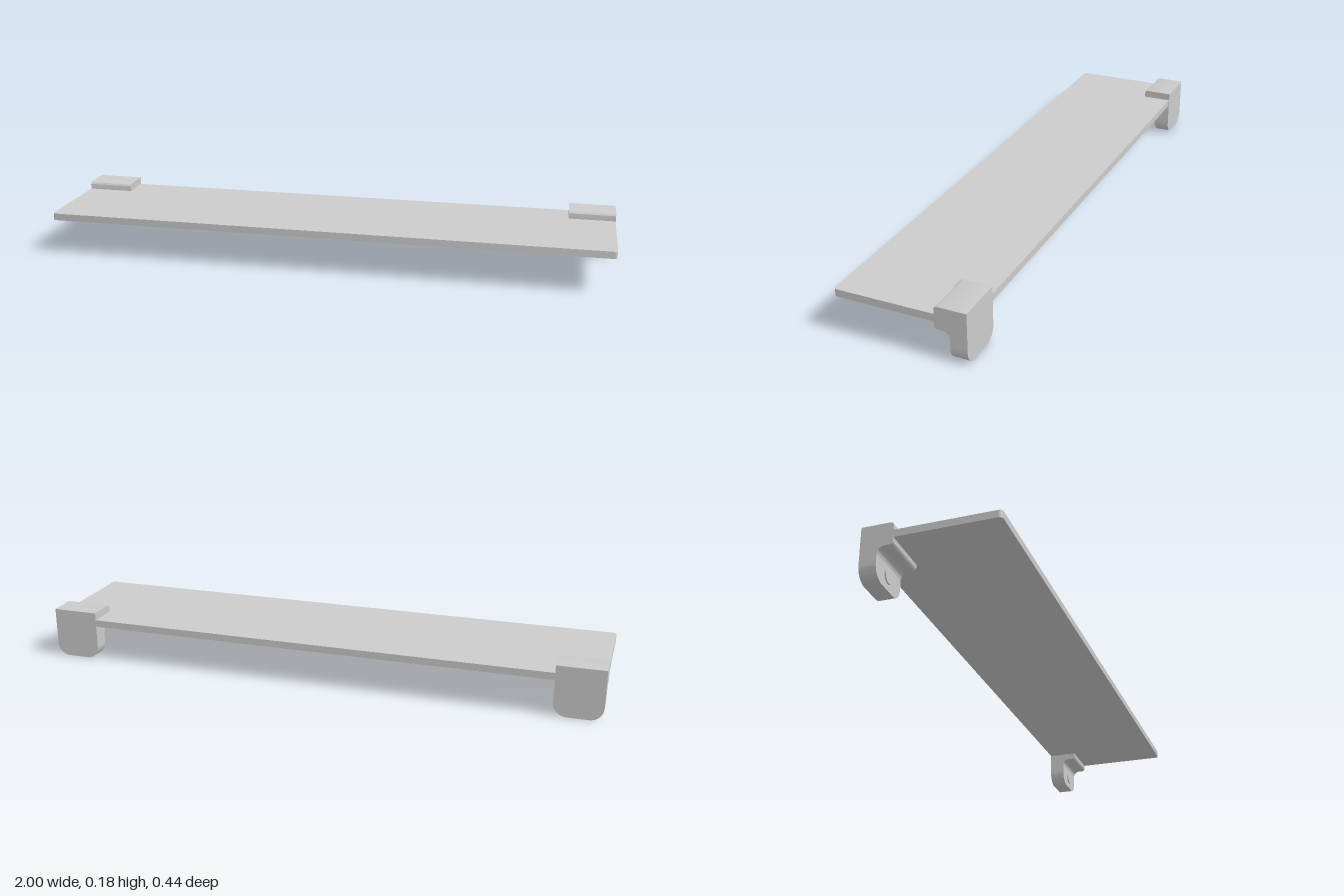
import * as THREE from 'three';
import { toCreasedNormals } from 'three/addons/utils/BufferGeometryUtils.js';

const material = new THREE.MeshStandardMaterial({ color: 0xcccccc });
const WIDTH = 0.165, BACK = -0.222, LEG_FRONT = -0.166, SPLIT = 0.06;

function extrude(shape, depth) {
  const g = new THREE.ExtrudeGeometry(shape, { depth, bevelEnabled: false, curveSegments: 10 });
  return toCreasedNormals(g, 0.5);
}

function addPart(parent, name, geometry) {
  const mesh = new THREE.Mesh(geometry, material);
  mesh.name = name;
  parent.add(mesh);
  return mesh;
}

// Shelf board with slightly rounded front corners
function shelfGeometry() {
  const x = 0.999, front = -0.222, back = 0.221, r = 0.012;
  const s = new THREE.Shape();
  s.moveTo(-x + r, front);
  s.lineTo(x - r, front);
  s.absarc(x - r, front + r, r, -Math.PI / 2, 0, false);
  s.lineTo(x, back);
  s.lineTo(-x, back);
  s.lineTo(-x, front + r);
  s.absarc(-x + r, front + r, r, Math.PI, Math.PI * 1.5, false);
  return extrude(s, 0.025).rotateX(-Math.PI / 2).translate(0, 0.126, 0);
}

// Clamp side profile (z, y): rounded nose, with a fillet running into the leg
function clampGeometry() {
  const nose = -0.116, top = 0.178, low = 0.102, r = 0.011, f = 0.024;
  const s = new THREE.Shape();
  s.moveTo(BACK, SPLIT);
  s.lineTo(LEG_FRONT, SPLIT);
  s.lineTo(LEG_FRONT, low - f);
  s.absarc(LEG_FRONT + f, low - f, f, Math.PI, Math.PI / 2, true);
  s.lineTo(nose - r, low);
  s.absarc(nose - r, low + r, r, -Math.PI / 2, 0, false);
  s.lineTo(nose, top - r);
  s.absarc(nose - r, top - r, r, 0, Math.PI / 2, false);
  s.lineTo(BACK, top);
  // Turn the profile so its first axis runs along z
  return extrude(s, WIDTH).rotateY(-Math.PI / 2).translate(WIDTH / 2, 0, 0);
}

// Wall plate: lower end of the leg with rounded bottom corners
function legGeometry() {
  const w = WIDTH / 2, r = 0.046;
  const s = new THREE.Shape();
  s.moveTo(-w, SPLIT);
  s.lineTo(-w, r);
  s.absarc(-w + r, r, r, Math.PI, Math.PI * 1.5, false);
  s.lineTo(w - r, 0);
  s.absarc(w - r, r, r, -Math.PI / 2, 0, false);
  s.lineTo(w, SPLIT);
  return extrude(s, LEG_FRONT - BACK).translate(0, 0, BACK);
}

export function createModel() {
  const model = new THREE.Group();
  model.name = 'wallShelf';
  addPart(model, 'shelfBoard', shelfGeometry());

  // Mirrored pair of brackets
  const clamp = clampGeometry(), leg = legGeometry();
  const screw = new THREE.CylinderGeometry(0.025, 0.025, 0.008, 24).rotateX(Math.PI / 2);
  for (const side of [1, -1]) {
    const bracket = new THREE.Group();
    bracket.name = side > 0 ? 'leftBracket' : 'rightBracket';
    bracket.position.x = side * (1 - WIDTH / 2);
    addPart(bracket, 'clamp', clamp);
    addPart(bracket, 'leg', leg);
    addPart(bracket, 'screwHead', screw).position.set(0, 0.047, LEG_FRONT);
    model.add(bracket);
  }
  return model;
}
